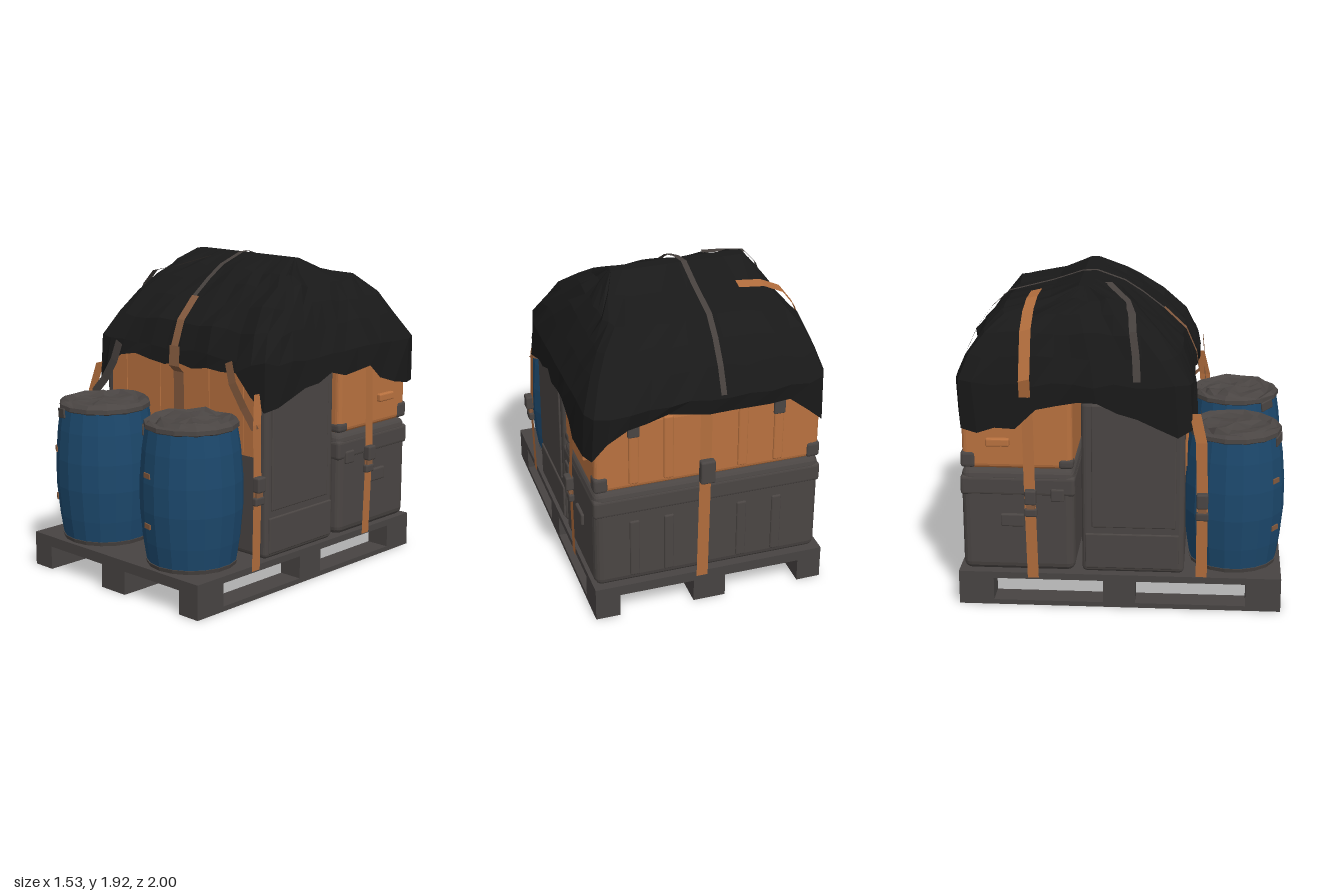
import * as THREE from 'three';
import { RoundedBoxGeometry } from 'three/addons/geometries/RoundedBoxGeometry.js';

const mat = (name, hex, side = THREE.FrontSide) => {
  const m = new THREE.MeshStandardMaterial({ color: hex, flatShading: true, side });
  m.name = name;
  return m;
};

export function createModel() {
  const root = new THREE.Group();
  root.name = 'loadedPallet';
  const grey = mat('caseGrey', 0x4a4543), wood = mat('palletGrey', 0x474342);
  const orange = mat('caseOrange', 0xb8713f), blue = mat('drumBlue', 0x1c486c);
  const black = mat('tarpBlack', 0x191919, THREE.DoubleSide);
  const strapOrange = mat('strapOrange', 0xb06c3c, THREE.DoubleSide);
  const strapBrown = mat('strapBrown', 0x845a3e, THREE.DoubleSide);
  const strapGrey = mat('strapGrey', 0x46403d, THREE.DoubleSide);

  let seed = 7;
  const rnd = () => (seed = (seed * 16807) % 2147483647) / 2147483647;

  const add = (name, geo, m, parent = root) => {
    const mesh = new THREE.Mesh(geo, m);
    mesh.name = name;
    parent.add(mesh);
    return mesh;
  };
  // Box given by its limits, bevelled when r > 0
  const box = (name, [x0, x1], [y0, y1], [z0, z1], m, r = 0) => {
    const s = [x1 - x0, y1 - y0, z1 - z0];
    const g = r ? new RoundedBoxGeometry(...s, 2, r) : new THREE.BoxGeometry(...s);
    add(name, g, m).position.set((x0 + x1) / 2, (y0 + y1) / 2, (z0 + z1) / 2);
  };
  // Flat webbing through a list of points; w is the half-width vector
  const strap = (name, pts, w, m) => {
    const pos = [], idx = [];
    pts.forEach(([x, y, z], i) => {
      pos.push(x - w[0], y - w[1], z - w[2], x + w[0], y + w[1], z + w[2]);
      if (i) idx.push(2 * i - 2, 2 * i - 1, 2 * i, 2 * i - 1, 2 * i + 1, 2 * i);
    });
    const g = new THREE.BufferGeometry();
    g.setAttribute('position', new THREE.Float32BufferAttribute(pos, 3));
    g.setIndex(idx);
    g.computeVertexNormals();
    add(name, g, m);
  };

  // Pallet: skids, blocks, cross boards and deck
  const skids = [[-0.72, -0.57], [-0.1, 0.1], [0.56, 0.71]];
  const rows = [[0.78, 0.99], [-0.07, 0.12], [-0.94, -0.73]];
  for (const sx of skids) {
    box('skid', sx, [0, 0.03], [-0.94, 0.99], wood);
    for (const rz of rows) box('palletBlock', sx, [0, 0.15], rz, wood);
  }
  for (const rz of rows) box('crossBoard', [-0.72, 0.71], [0.145, 0.175], rz, wood);
  box('deck', [-0.72, 0.71], [0.17, 0.21], [-0.94, 0.99], wood);
  const wedge = new THREE.Shape([[0.12, 0.02], [0.78, 0.02], [0.78, 0.04], [0.12, 0.13]].map(p => new THREE.Vector2(-p[0], p[1])));
  add('splitBoard', new THREE.ExtrudeGeometry(wedge, { depth: 0.03, bevelEnabled: false }), wood).rotation.y = Math.PI / 2;

  // Tall case behind the drums, orange upper front
  box('tallCase', [-0.68, 0.69], [0.21, 1.28], [-0.2, 0.41], grey, 0.03);
  box('tallCaseFront', [-0.62, 0.62], [0.82, 1.27], [0.405, 0.414], orange);
  box('tallCaseTop', [-0.56, 0.56], [1.25, 1.36], [0.2, 0.414], orange);
  for (const x of [-0.5, -0.2, 0.22, 0.5]) box('frontRib', [x - 0.02, x + 0.02], [0.84, 1.32], [0.41, 0.42], orange);
  for (const px of [[-0.69, -0.67], [0.68, 0.7]]) {
    box('sidePanel', px, [0.5, 1.26], [-0.14, 0.36], grey, 0.008);
    box('sidePanel', px, [0.24, 0.46], [-0.18, 0.38], grey, 0.008);
  }

  // Rear pair: grey case below, orange case above
  box('lowerCase', [-0.69, 0.7], [0.21, 0.855], [-0.915, -0.24], grey, 0.05);
  box('lowerCaseLid', [-0.694, 0.704], [0.69, 0.81], [-0.919, -0.236], grey, 0.02);
  box('upperCase', [-0.68, 0.69], [0.855, 1.31], [-0.905, -0.25], orange, 0.03);
  for (const x of [-0.645, 0.655]) for (const z of [-0.87, -0.29])
    box('cornerGuard', [x - 0.042, x + 0.042], [0.86, z < -0.5 ? 0.96 : 0.92], [z - 0.045, z + 0.045], grey, 0.02);
  for (const x of [-0.42, -0.2, 0.25, 0.46]) {
    box('backRib', [x - 0.03, x + 0.03], [0.89, 1.3], [-0.915, -0.89], orange, 0.01);
    box('backRib', [x - 0.03, x + 0.03], [0.26, 0.64], [-0.925, -0.9], grey, 0.01);
  }
  for (const x of [-0.42, 0.46]) box('latch', [x - 0.035, x + 0.035], [1.2, 1.29], [-0.922, -0.9], grey, 0.008);
  for (const x of [-0.69, 0.7]) {
    box('sideHandle', [x - 0.018, x + 0.018], [0.5, 0.58], [-0.68, -0.54], grey, 0.01);
    box('sideLatch', [x - 0.015, x + 0.015], [0.66, 0.74], [-0.38, -0.3], grey, 0.01);
    box('upperHandle', [x - 0.018, x + 0.018], [1.0, 1.05], [-0.76, -0.62], orange, 0.01);
  }

  // Drums with creased lids
  const prof = pts => pts.map(p => new THREE.Vector2(...p));
  for (const x of [-0.375, 0.375]) {
    const drum = new THREE.Group();
    drum.name = 'drum';
    drum.position.set(x, 0, 0.7);
    root.add(drum);
    add('drumBody', new THREE.LatheGeometry(prof([[0, 0.23], [0.265, 0.23], [0.285, 0.36], [0.303, 0.55], [0.303, 0.72], [0.288, 0.9], [0.268, 1.03], [0, 1.03]]), 18), blue, drum);
    add('drumFoot', new THREE.CylinderGeometry(0.272, 0.265, 0.025, 18), grey, drum).position.y = 0.222;
    const lid = new THREE.LatheGeometry(prof([[0.265, 1.02], [0.28, 1.03], [0.278, 1.055], [0.25, 1.065], [0.21, 1.05], [0.18, 1.07], [0.1, 1.065], [0, 1.075]]), 14);
    const p = lid.attributes.position, n = 8;
    for (let i = 0; i < p.count - n; i++) {
      const j = i % n;
      if (j > 2 && j < 7) p.setY(i, p.getY(i) + (rnd() - 0.5) * 0.035);
    }
    for (let j = 0; j < n; j++) p.setY(p.count - n + j, p.getY(j));
    add('drumLid', lid, grey, drum);
    const flap = add('lidFlap', new RoundedBoxGeometry(0.1, 0.06, 0.012, 1, 0.005), grey, drum);
    const turn = x > 0 ? -0.75 : -0.36;
    flap.position.set(Math.sin(turn) * 0.278, 1.005, Math.cos(turn) * 0.278);
    flap.rotation.set(0, turn, 0.15);
    for (const y of [0.47, 0.77]) {
      const a = x > 0 ? -0.22 : -0.6;
      const spot = add('rustSpot', new THREE.BoxGeometry(0.06, 0.03, 0.008), strapBrown, drum);
      spot.position.set(Math.sin(a) * 0.3, y, Math.cos(a) * 0.3);
      spot.rotation.y = a;
    }
  }

  // Tarp: near-rectangular rings from the ragged hem up to a ridge
  // Each ring: height, x range, z range
  const rings = [
    [1.2, -0.73, 0.76, -0.94, 0.495], [1.4, -0.725, 0.745, -0.955, 0.475], [1.55, -0.685, 0.69, -0.885, 0.385],
    [1.68, -0.635, 0.615, -0.79, 0.25], [1.78, -0.56, 0.53, -0.68, 0.12], [1.85, -0.5, 0.45, -0.41, 0.01],
    [1.91, -0.44, 0.38, -0.23, -0.16]];
  const sideHem = [[-1, 1.13], [-0.9, 1.09], [-0.58, 1.14], [-0.52, 1.26], [-0.1, 1.26], [0.05, 1.24], [0.2, 1.17], [0.38, 1.1], [0.6, 1.13]];
  const hemAt = (z) => {
    const i = Math.max(1, sideHem.findIndex(q => q[0] >= z));
    const [a, b] = [sideHem[i - 1], sideHem[i]];
    return a[1] + (b[1] - a[1]) * (z - a[0]) / (b[0] - a[0]);
  };
  const N = 12, K = 4 * N, pos = [], idx = [];
  rings.forEach(([y, x0, x1, z0, z1], r) => {
    for (let k = 0; k < K; k++) {
      const s = Math.floor(k / N), t = (k % N) / N * 2 - 1;
      const [u, v] = [[1, t], [-t, 1], [-1, -t], [t, -1]][s];
      const d = Math.pow(Math.abs(u) ** 14 + Math.abs(v) ** 14, 1 / 14);
      const inset = r === 6 ? 1 : 1 - rnd() * (r < 2 ? 0.02 : 0.045);
      const x = (x0 + x1) / 2 + u / d * inset * (x1 - x0) / 2;
      let z = (z0 + z1) / 2 + v / d * inset * (z1 - z0) / 2;
      if (r < 2 && s === 1) z -= 0.03 * (1 - u * u);
      if (r < 2 && v < -0.8 && u > 0.6) z -= 0.045;
      let h = y - (r === 6 ? 0 : rnd() * 0.03);
      if (r === 0) {
        const c = Math.abs(u);
        h = (s % 2 ? (c > 0.95 ? 1.12 : c > 0.8 ? 1.2 : 1.3) : hemAt(z)) + (rnd() - 0.5) * 0.05;
      }
      pos.push(x, h, z);
      if (r) {
        const a = (r - 1) * K + k, b = (r - 1) * K + (k + 1) % K;
        idx.push(a, a + K, b, b, a + K, b + K);
      }
    }
  });
  pos.push(-0.03, 1.91, -0.195);
  const top = (rings.length - 1) * K;
  for (let k = 0; k < K; k++) idx.push(top + k, rings.length * K, top + (k + 1) % K);
  const tg = new THREE.BufferGeometry();
  tg.setAttribute('position', new THREE.Float32BufferAttribute(pos, 3));
  tg.setIndex(idx);
  tg.computeVertexNormals();
  add('tarp', tg, black);

  // Centre strap: front drop, tarp rise, thin run over the top
  strap('frontStrap', [[0, 0.5, 0.43], [0, 1.25, 0.435], [0, 1.29, 0.475], [-0.01, 1.41, 0.457]], [0.043, 0, 0], strapBrown);
  strap('tarpStrapFront', [[-0.01, 1.41, 0.457], [-0.02, 1.56, 0.393], [-0.03, 1.69, 0.258]], [0.03, 0, 0], strapBrown);
  strap('tarpStrapTop', [...rings.slice(3).map(q => [-0.04, q[0] + 0.008, q[4] + 0.008]),
    ...rings.slice(1).reverse().map(q => [-0.06, q[0] + 0.008, q[3] - 0.005])], [0.017, 0, 0], strapGrey);
  strap('backStrap', [[0.05, 0.18, -0.945], [0.04, 0.85, -0.945], [0.03, 1.3, -0.925]], [0.035, 0, 0], strapOrange);
  box('backBuckle', [-0.01, 0.08], [0.85, 1.0], [-0.99, -0.94], grey, 0.012);

  // Side straps with buckles, mirrored
  for (const s of [-1, 1]) {
    strap('frontSideStrap', [[s * 0.715, 0.18, 0.515], [s * 0.725, 0.65, 0.515], [s * 0.71, 1.05, 0.505], [s * 0.68, 1.22, 0.465]], [0, 0, 0.033], strapOrange);
    strap('rearSideStrap', [[s * 0.72, 0.18, -0.49], [s * 0.73, 0.7, -0.5], [s * 0.71, 1.28, -0.51]], [0, 0, 0.033], strapOrange);
    for (const z of [0.515, -0.495]) {
      const span = (a, b) => (s > 0 ? [a, b] : [-b, -a]);
      box('buckle', span(0.715, 0.75), [0.58, 0.63], [z - 0.038, z + 0.038], grey, 0.01);
      box('buckleTongue', span(0.72, 0.745), [0.6, 0.7], [z - 0.025, z + 0.025], strapBrown);
      box('buckleLever', span(0.715, 0.765), [0.66, 0.75], [z - 0.034, z + 0.034], grey, 0.01);
    }
    strap('cornerStrap', [[s * 0.47, 1.38, 0.49], [s * 0.51, 1.26, 0.5], [s * 0.6, 1.13, 0.5], [s * 0.7, 1.02, 0.51]], [0.028, s * 0.012, 0], s > 0 ? strapBrown : strapGrey);
  }

  // Loose straps across the right of the tarp
  strap('tarpSideStrap', [[-0.71, 1.27, -0.52], [-0.745, 1.42, -0.52], [-0.69, 1.56, -0.52], [-0.64, 1.69, -0.52], [-0.565, 1.79, -0.51], [-0.45, 1.84, -0.5], [-0.3, 1.85, -0.49]], [0, 0.008, 0.033], strapOrange);
  strap('tarpGreyStrap', [[-0.74, 1.42, 0.13], [-0.69, 1.56, 0.12], [-0.64, 1.69, 0.1], [-0.56, 1.78, 0.09], [-0.4, 1.82, 0.05], [-0.23, 1.885, -0.07]], [0, 0, 0.022], strapGrey);
  return root;
}
